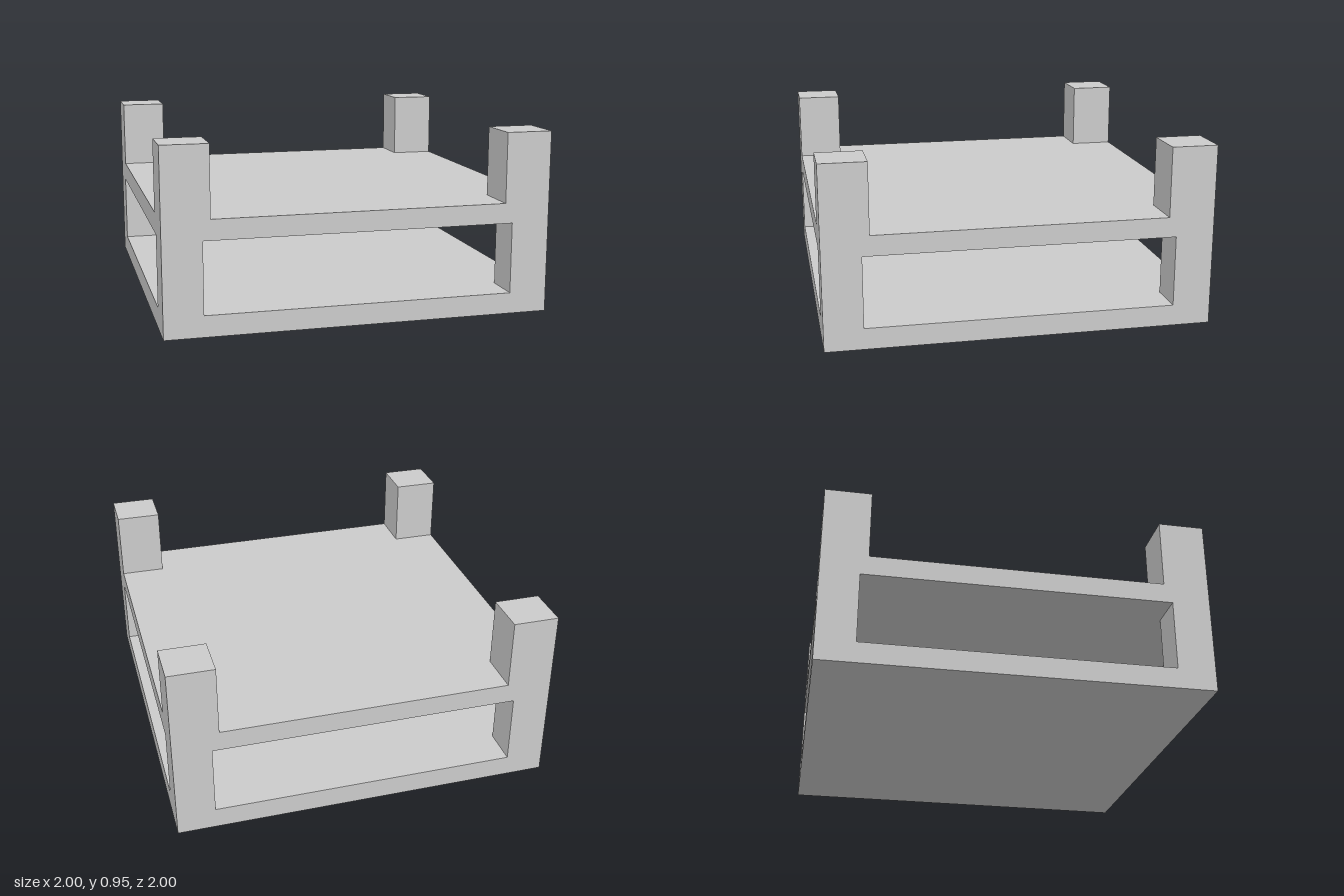
import * as THREE from 'three';

const material = new THREE.MeshStandardMaterial({ color: 0xcccccc, flatShading: true });

// Square block of the given width, spanning y0 to y1
function block(name, width, y0, y1, x = 0, z = 0) {
  const mesh = new THREE.Mesh(new THREE.BoxGeometry(width, y1 - y0, width), material);
  mesh.name = name;
  mesh.position.set(x, (y0 + y1) / 2, z);
  return mesh;
}

export function createModel() {
  const model = new THREE.Group();
  model.name = 'twoTierPlatform';

  const baseTop = 0.11, deckBottom = 0.48, deckTop = 0.585, postTop = 0.95;
  const legWidth = 0.2, postWidth = 0.24;

  // Two full-width slabs
  model.add(block('baseSlab', 2, 0, baseTop));
  model.add(block('upperDeck', 2, deckBottom, deckTop));

  // Corner legs between the slabs, with thicker posts above the deck
  for (const [sx, sideName] of [[1, 'Left'], [-1, 'Right']]) {
    for (const [sz, endName] of [[1, 'front'], [-1, 'back']]) {
      const leg = 1 - legWidth / 2, post = 1 - postWidth / 2;
      model.add(block(`${endName}${sideName}Leg`, legWidth, baseTop, deckBottom, sx * leg, sz * leg));
      model.add(block(`${endName}${sideName}Post`, postWidth, deckTop, postTop, sx * post, sz * post));
    }
  }
  return model;
}
